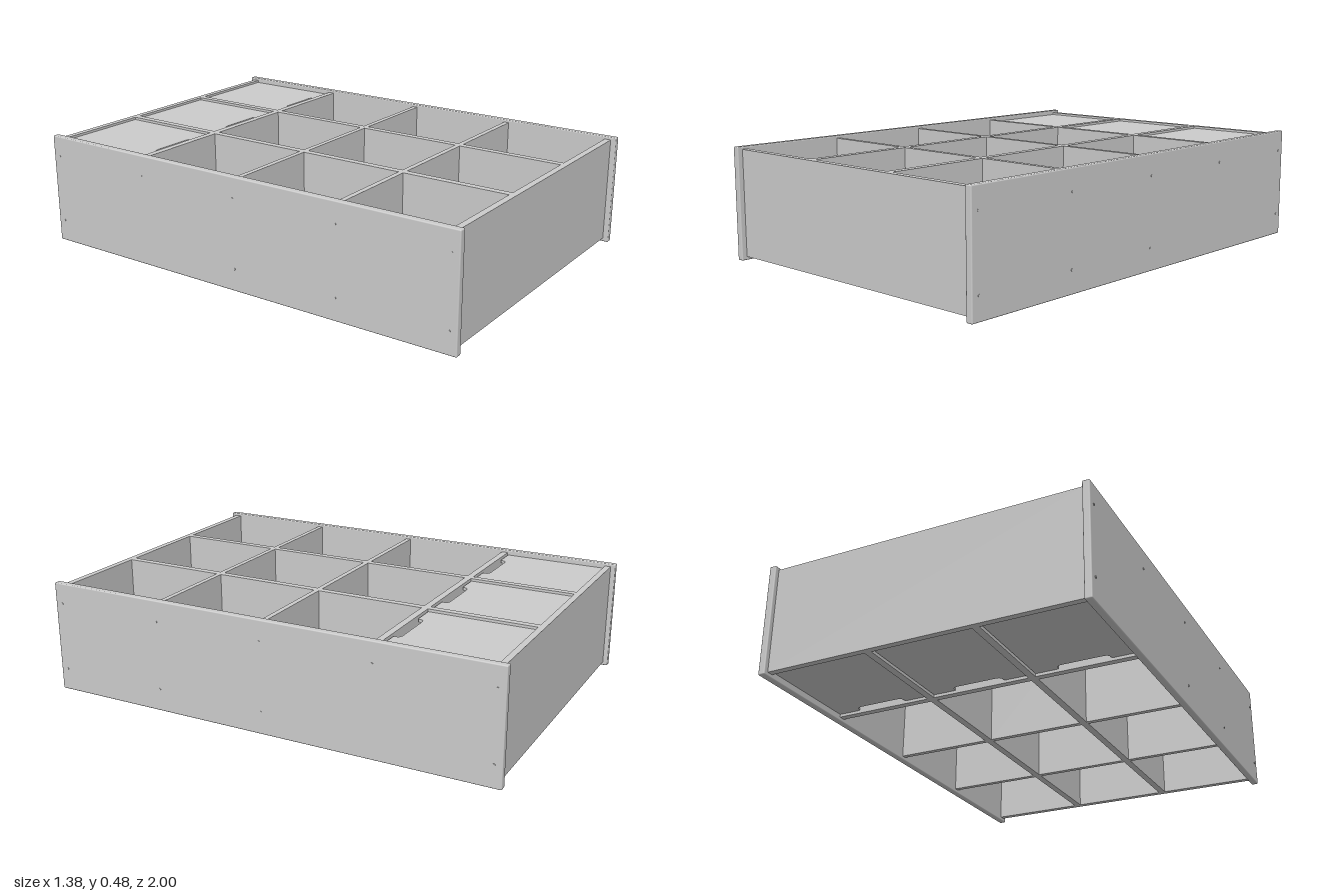
import * as THREE from 'three';
import { RoundedBoxGeometry } from 'three/addons/geometries/RoundedBoxGeometry.js';

const material = new THREE.MeshStandardMaterial({ color: 0xcccccc });

export function createModel() {
  const model = new THREE.Group();
  model.name = 'dividedTray';

  const add = (name, geometry, x, y, z) => {
    const mesh = new THREE.Mesh(geometry, material);
    mesh.name = name;
    mesh.position.set(x, y, z);
    model.add(mesh);
    return mesh;
  };
  // Box given by its limits on each axis
  const board = (name, x0, x1, y0, y1, z0, z1) =>
    add(name, new THREE.BoxGeometry(x1 - x0, y1 - y0, z1 - z0),
      (x0 + x1) / 2, (y0 + y1) / 2, (z0 + z1) / 2);

  const bottom = 0.015, top = 0.465;

  // Long outer sides with softened edges, and their screws
  for (const s of [-1, 1]) {
    const side = s > 0 ? 'left' : 'right';
    add(side + 'Side', new RoundedBoxGeometry(0.03, 0.476, 2, 2, 0.005), s * 0.675, 0.238, 0);
    for (const z of [-0.967, -0.483, 0, 0.483, 0.967]) {
      for (const y of [0.095, 0.387]) {
        if (z === -0.483 && y < 0.2) continue;
        const screw = add(side + 'Screw', new THREE.CylinderGeometry(0.005, 0.005, 0.004, 12), s * 0.69, y, z);
        screw.rotation.z = Math.PI / 2;
      }
    }
  }

  // End panels
  board('frontPanel', -0.66, 0.66, bottom, top, 0.95, 0.977);
  board('backPanel', -0.66, 0.66, bottom, top, -0.98, -0.954);

  // Lengthwise dividers
  for (const x of [-0.225, 0.225])
    board('longDivider', x - 0.015, x + 0.015, bottom, top, -0.954, 0.95);

  // Lid outline in x and z, with a rounded finger notch in its front edge
  const w = 0.207, back = -0.953, front = -0.506, n = 0.108, d = 0.028, r = 0.014;
  const outline = new THREE.Shape();
  outline.moveTo(-w, back);
  outline.lineTo(w, back);
  outline.lineTo(w, front);
  outline.lineTo(n + 0.006, front);
  outline.quadraticCurveTo(n, front, n, front - 0.008);
  outline.quadraticCurveTo(n, front - d, n - r * 1.8, front - d);
  outline.lineTo(-n + r * 1.8, front - d);
  outline.quadraticCurveTo(-n, front - d, -n, front - 0.008);
  outline.quadraticCurveTo(-n, front, -n - 0.006, front);
  outline.lineTo(-w, front);
  outline.closePath();
  const lid = new THREE.ExtrudeGeometry(outline, { depth: 0.012, bevelEnabled: false, curveSegments: 6 });
  lid.rotateX(Math.PI / 2);

  // Crosswise dividers and closed rear compartments, one column at a time
  for (const [x0, x1] of [[-0.66, -0.24], [-0.21, 0.21], [0.24, 0.66]]) {
    board('rearCrossDivider', x0, x1, bottom, top, -0.502, -0.474);
    board('middleCrossDivider', x0, x1, bottom, top, -0.012, 0.01);
    board('frontCrossDivider', x0, x1, bottom, top, 0.47, 0.492);
    add('topLid', lid, (x0 + x1) / 2, 0.455, 0);
    add('bottomLid', lid, (x0 + x1) / 2, 0.037, 0);
  }
  return model;
}
